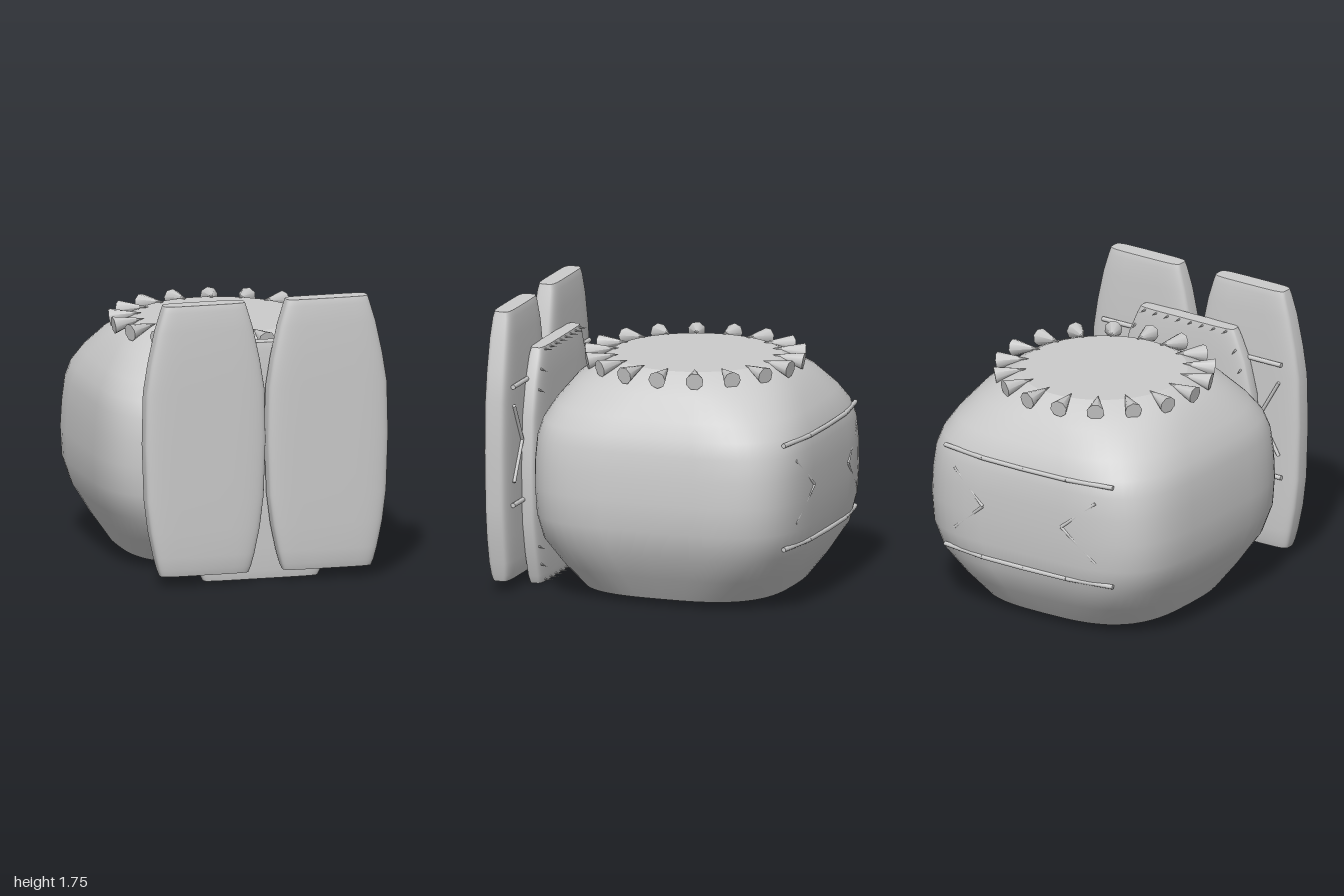
import * as THREE from 'three';

const grey = new THREE.MeshStandardMaterial({ color: 0xcccccc });

// Stacks superellipse sections [y, halfX, halfZ, exponent] and caps both ends
function loft(sections, segs = 48) {
  const pos = [], idx = [];
  const ring = ([y, hx, hz, n]) => {
    const start = pos.length / 3;
    for (let i = 0; i < segs; i++) {
      const t = (i / segs) * Math.PI * 2, c = Math.cos(t), s = Math.sin(t);
      pos.push(hx * Math.sign(c) * Math.abs(c) ** (2 / n), y, hz * Math.sign(s) * Math.abs(s) ** (2 / n));
    }
    return start;
  };
  const starts = sections.map(ring);
  for (let j = 0; j < starts.length - 1; j++) {
    for (let i = 0; i < segs; i++) {
      const k = (i + 1) % segs, a = starts[j], b = starts[j + 1];
      idx.push(a + i, b + i, a + k, a + k, b + i, b + k);
    }
  }
  for (const top of [false, true]) {
    const sec = sections[top ? sections.length - 1 : 0];
    const r = ring(sec), centre = pos.length / 3;
    pos.push(0, sec[0], 0);
    for (let i = 0; i < segs; i++) {
      const k = (i + 1) % segs;
      if (top) idx.push(centre, r + k, r + i);
      else idx.push(centre, r + i, r + k);
    }
  }
  const g = new THREE.BufferGeometry();
  g.setAttribute('position', new THREE.Float32BufferAttribute(pos, 3));
  g.setIndex(idx);
  g.computeVertexNormals();
  return g;
}

function add(parent, geometry, name, x = 0, y = 0, z = 0) {
  const m = new THREE.Mesh(geometry, grey);
  m.name = name;
  m.position.set(x, y, z);
  parent.add(m);
  return m;
}

// Round rod between two points
function rod(parent, name, a, b, radius = 0.015) {
  const p = new THREE.Vector3(...a), q = new THREE.Vector3(...b);
  const d = q.clone().sub(p);
  const m = add(parent, new THREE.CylinderGeometry(radius, radius, d.length(), 8), name);
  m.position.copy(p).add(q).multiplyScalar(0.5);
  m.quaternion.setFromUnitVectors(new THREE.Vector3(0, 1, 0), d.normalize());
  return m;
}

// Cone with its base at one point and its tip at another
function spike(parent, name, base, tip, radius, sides) {
  const p = new THREE.Vector3(...base), q = new THREE.Vector3(...tip);
  const d = q.clone().sub(p);
  const m = add(parent, new THREE.ConeGeometry(radius, d.length(), sides), name);
  m.position.copy(p).add(q).multiplyScalar(0.5);
  m.quaternion.setFromUnitVectors(new THREE.Vector3(0, 1, 0), d.normalize());
  return m;
}

export function createModel() {
  const model = new THREE.Group();
  model.name = 'model';
  const CZ = -0.12;

  // Rounded, boxy body with a round flat top
  add(model, loft([
    [0.05, 0.64, 0.635, 3], [0.2, 0.74, 0.745, 3.4], [0.36, 0.83, 0.84, 3.8],
    [0.52, 0.878, 0.865, 4.1], [0.7, 0.885, 0.873, 4.2], [0.86, 0.875, 0.873, 4.2],
    [1.0, 0.86, 0.865, 4.1], [1.1, 0.83, 0.84, 3.9], [1.2, 0.775, 0.785, 3.5],
    [1.33, 0.68, 0.69, 2.8], [1.41, 0.585, 0.59, 2.3], [1.45, 0.51, 0.52, 2],
  ], 56), 'body', 0, 0, CZ);

  // Ring of spikes pointing inward around the top
  const crown = new THREE.Group();
  crown.name = 'spikeRing';
  model.add(crown);
  for (let i = 0; i < 18; i++) {
    const t = (i / 18) * Math.PI * 2, c = Math.cos(t), s = Math.sin(t);
    spike(crown, 'spike', [0.67 * c, 1.425, CZ + 0.01 + 0.67 * s],
      [0.475 * c, 1.458, CZ + 0.01 + 0.475 * s], 0.055, 8);
  }

  // Two bent rods and two chevrons on the back
  const back = new THREE.Group();
  back.name = 'backTrim';
  model.add(back);
  for (const s of [1, -1]) {
    for (const y of [1.07, 0.42]) {
      rod(back, 'backRod', [0, y, -0.972], [0.31 * s, y, -0.965]);
      rod(back, 'backRod', [0.31 * s, y, -0.965], [0.62 * s, y, -0.915]);
    }
    const tip = [0.29 * s, 0.765, -0.99];
    rod(back, 'backChevron', [0.52 * s, 0.96, -0.955], tip, 0.011);
    rod(back, 'backChevron', [0.52 * s, 0.565, -0.955], tip, 0.011);
  }

  // Middle plate between body and front slabs
  add(model, loft([
    [0.01, 0.36, 0.045, 5], [0.06, 0.385, 0.054, 5], [0.2, 0.43, 0.058, 5],
    [0.42, 0.485, 0.06, 5], [0.75, 0.5, 0.06, 5], [1.07, 0.485, 0.06, 5],
    [1.29, 0.43, 0.058, 5], [1.43, 0.37, 0.054, 5], [1.48, 0.345, 0.045, 5],
  ]), 'middlePlate', 0, 0, 0.8);

  // Thin teeth along the ends and sides of the plate's rear face
  const teeth = new THREE.Group();
  teeth.name = 'plateTeeth';
  model.add(teeth);
  for (let i = 0; i < 8; i++) {
    const x = -0.3 + (i * 0.6) / 7;
    for (const y of [1.465, 0.025]) spike(teeth, 'tooth', [x, y, 0.78], [x, y, 0.7], 0.01, 5);
  }
  for (const s of [1, -1]) {
    for (const [x, y] of [[0.37, 1.36], [0.41, 1.24], [0.37, 0.14], [0.41, 0.26]]) {
      spike(teeth, 'tooth', [x * s, y, 0.77], [x * s, y - 0.02, 0.71], 0.01, 5);
    }
  }

  // Two tapered front slabs with rods and a chevron on their rear faces
  const slab = loft([
    [0.08, 0.277, 0.055, 5], [0.12, 0.292, 0.067, 5], [0.2, 0.313, 0.076, 5],
    [0.36, 0.346, 0.08, 5], [0.55, 0.37, 0.081, 5], [0.9, 0.382, 0.082, 5],
    [1.22, 0.375, 0.081, 5], [1.4, 0.346, 0.08, 5], [1.6, 0.303, 0.075, 5],
    [1.72, 0.267, 0.066, 5], [1.76, 0.255, 0.055, 5],
  ]);
  for (const s of [1, -1]) {
    const side = new THREE.Group();
    side.name = s > 0 ? 'leftSlab' : 'rightSlab';
    model.add(side);
    add(side, slab, 'slab', 0.387 * s, 0, 0.917);
    for (const y of [1.3, 0.56]) rod(side, 'slabRod', [0.14 * s, y, 0.828], [0.66 * s, y, 0.828]);
    const tip = [0.5 * s, 0.94, 0.828];
    rod(side, 'slabChevron', [0.64 * s, 1.18, 0.828], tip, 0.011);
    rod(side, 'slabChevron', [0.64 * s, 0.7, 0.828], tip, 0.011);
  }
  return model;
}
